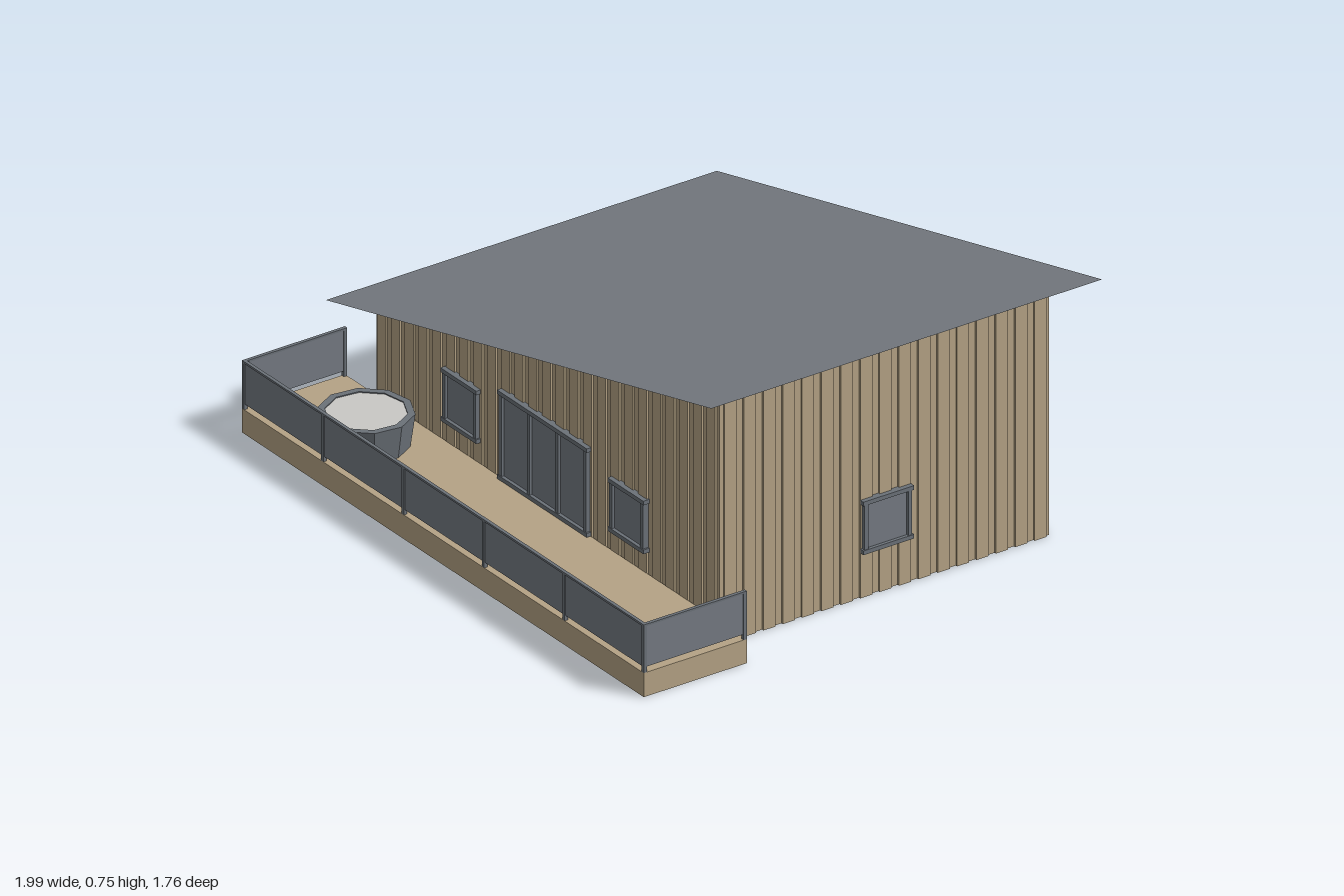
import * as THREE from 'three';
import { mergeGeometries } from 'three/addons/utils/BufferGeometryUtils.js';

const mat = (name, color, side = THREE.FrontSide) => {
  const m = new THREE.MeshStandardMaterial({ color, side });
  m.name = name;
  return m;
};

export function createModel() {
  const timber = mat('timber', 0xb5a385);
  const timberSheet = timber.clone();
  timberSheet.side = THREE.DoubleSide;
  const roofing = mat('roofing grey', 0x787d84, THREE.DoubleSide);
  const metal = mat('frame grey', 0x6c7279);
  const glass = mat('glass', 0x757b83);
  const lining = mat('tub cover', 0xc9c8c5);

  const model = new THREE.Group();
  model.name = 'cabin';
  // The whole cabin stands turned on its plot
  const site = new THREE.Group();
  site.name = 'turnedCabin';
  site.rotation.y = -0.183;
  model.add(site);

  const add = (parent, name, geometry, material) => {
    const mesh = new THREE.Mesh(geometry, material);
    mesh.name = name;
    parent.add(mesh);
    return mesh;
  };
  const box = (w, h, d, x, y, z) => new THREE.BoxGeometry(w, h, d).translate(x, y, z);

  // Single-pitch roof height, and a rule that fits tops to it
  const roofY = (x) => 0.33 + (x + 0.843) * 0.2465;
  const fitToRoof = (geometry, threshold, drop) => {
    const p = geometry.attributes.position;
    for (let i = 0; i < p.count; i++) {
      if (p.getY(i) > threshold) p.setY(i, roofY(p.getX(i)) - drop);
    }
    geometry.computeVertexNormals();
    return geometry;
  };

  // Roof: one thin sloping sheet
  const roof = new THREE.PlaneGeometry(1.716, 1.233).rotateX(-Math.PI / 2).translate(0.015, 0, -0.1315);
  add(site, 'roof', fitToRoof(roof, -1, 0), roofing);

  // Framed window or door, built facing +z on a wall plane
  const opening = (name, w, y0, y1, panes) => {
    const g = new THREE.Group();
    g.name = name;
    const h = y1 - y0, cy = (y0 + y1) / 2, bar = 0.012, depth = 0.018;
    const bars = [
      box(w + 0.01, bar, depth + 0.004, 0, y1 - bar / 2, depth / 2),
      box(w + 0.01, bar, depth + 0.004, 0, y0 + bar / 2, depth / 2),
    ];
    for (let i = 0; i <= panes; i++) {
      const x = -w / 2 + bar / 2 + (i * (w - bar)) / panes;
      bars.push(box(bar, h - 2 * bar, depth, x, cy, depth / 2));
    }
    add(g, name + 'Frame', mergeGeometries(bars), metal);
    add(g, name + 'Glass', box(w - bar, h - bar, 0.008, 0, cy, 0.006), glass);
    return g;
  };

  // Four walls: flat sheet, raised boards and openings
  const cx = 0.015, cz = -0.1275, halfX = 0.764, halfZ = 0.5195, boardDepth = 0.006;
  const sides = [
    { name: 'front', length: 1.528, boards: 25, x: cx, z: cz + halfZ, turn: 0 },
    { name: 'right', length: 1.039, boards: 17, x: cx + halfX, z: cz, turn: Math.PI / 2 },
    { name: 'back', length: 1.528, boards: 25, x: cx, z: cz - halfZ, turn: Math.PI },
    { name: 'left', length: 1.039, boards: 17, x: cx - halfX, z: cz, turn: -Math.PI / 2 },
  ];
  for (const s of sides) {
    const place = (geometry) => geometry.rotateY(s.turn).translate(s.x, 0, s.z);
    const sheet = place(new THREE.PlaneGeometry(s.length, 1).translate(0, 0.5, 0));
    add(site, s.name + 'Wall', fitToRoof(sheet, 0.5, 0), timberSheet);

    const step = s.length / s.boards;
    const boards = [];
    for (let i = 0; i < s.boards; i++) {
      const x = (i + 0.5) * step - s.length / 2;
      const board = place(box(step * 0.62, 1, boardDepth, x, 0.5, boardDepth / 2));
      boards.push(fitToRoof(board, 0.5, 0.001));
    }
    add(site, s.name + 'Boards', mergeGeometries(boards), timber);

    const openings = new THREE.Group();
    openings.name = s.name + 'Openings';
    openings.position.set(s.x, 0, s.z);
    openings.rotation.y = s.turn;
    site.add(openings);
    if (s.name === 'front') {
      openings.add(opening('terraceDoor', 0.39, 0.072, 0.33, 3));
      for (const x of [-0.372, 0.372]) {
        const w = opening('window', 0.15, 0.132, 0.286, 1);
        w.position.x = x;
        openings.add(w);
      }
    } else {
      openings.add(opening('window', 0.15, 0.132, 0.286, 1));
    }
  }

  // Deck
  const x0 = -0.883, x1 = 0.907, z0 = 0.397, z1 = 0.722, deckTop = 0.07;
  add(site, 'deck', box(x1 - x0, deckTop, z1 - z0, (x0 + x1) / 2, deckTop / 2, (z0 + z1) / 2), timber);

  // Glazed railing run, built along x from its start point
  const railing = (name, length, panels, x, z, turn) => {
    const g = new THREE.Group();
    g.name = name;
    g.position.set(x, 0, z);
    g.rotation.y = turn;
    site.add(g);
    const step = length / panels;
    const frame = [box(length, 0.006, 0.01, length / 2, 0.207, 0)];
    const panes = [];
    for (let i = 0; i <= panels; i++) {
      const px = Math.min(Math.max(i * step, 0.005), length - 0.005);
      frame.push(box(0.01, 0.136, 0.01, px, 0.138, 0));
      if (i < panels) panes.push(box(step - 0.012, 0.119, 0.005, (i + 0.5) * step, 0.1445, 0));
    }
    add(g, name + 'Posts', mergeGeometries(frame), metal);
    add(g, name + 'Panels', mergeGeometries(panes), glass);
  };
  railing('frontRailing', x1 - x0, 5, x0, z1 - 0.005, 0);
  railing('rightRailing', z1 - z0, 1, x1 - 0.005, z1, Math.PI / 2);
  railing('leftRailing', z1 - z0, 1, x0 + 0.005, z1, Math.PI / 2);

  // Round tub on the deck: ten-sided shell with a pale cover
  const tub = new THREE.Group();
  tub.name = 'hotTub';
  tub.position.set(-0.635, deckTop, 0.465);
  tub.rotation.y = Math.PI / 2;
  model.add(tub);
  const profile = [[0.115, 0], [0.128, 0.095], [0.108, 0.095], [0.108, 0.085]];
  const shell = new THREE.LatheGeometry(profile.map(([r, y]) => new THREE.Vector2(r, y)), 10).toNonIndexed();
  shell.computeVertexNormals();
  add(tub, 'tubShell', shell, metal);
  add(tub, 'tubCover', new THREE.CylinderGeometry(0.108, 0.108, 0.006, 10).translate(0, 0.089, 0), lining);

  return model;
}
